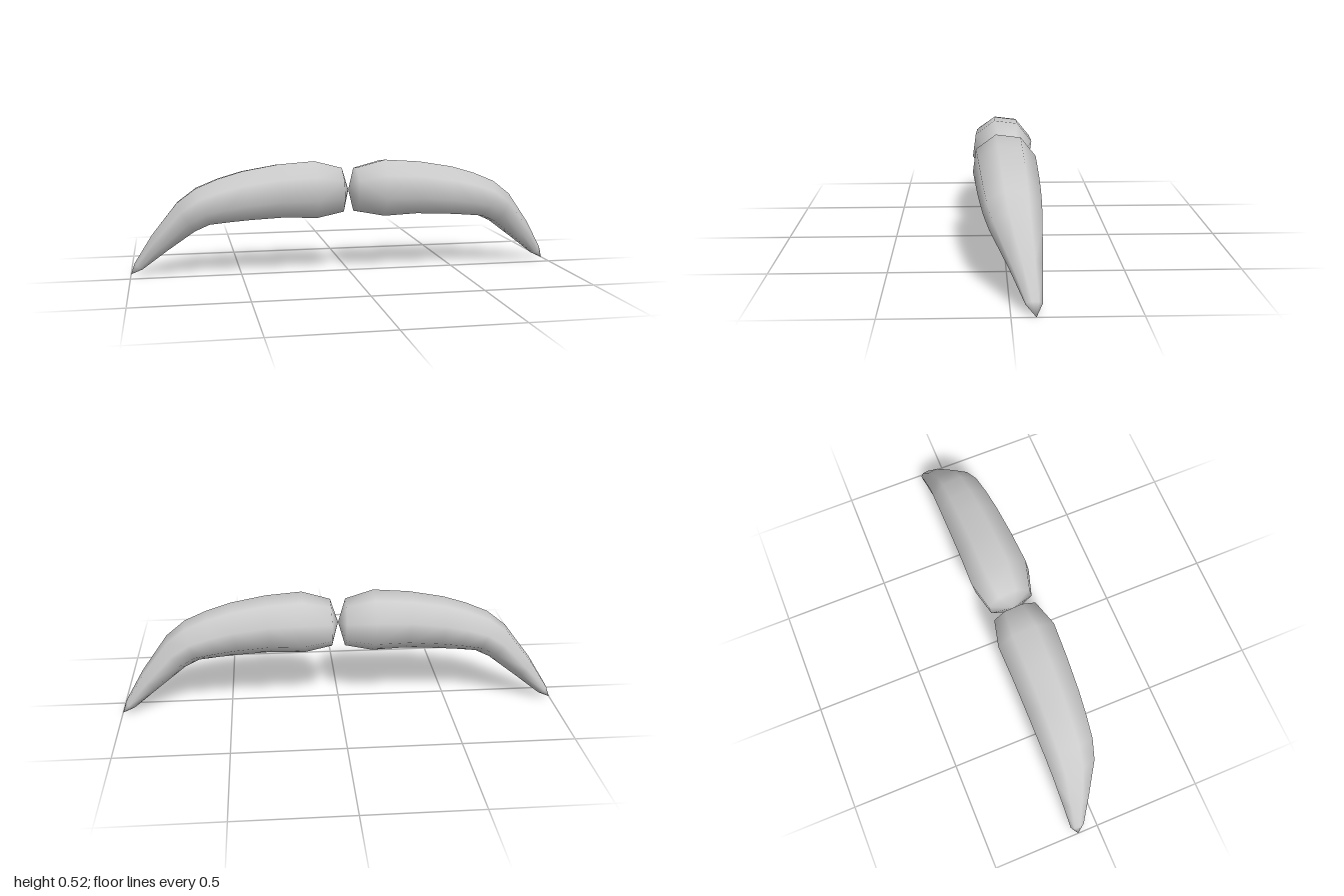
import * as THREE from 'three';

// Cross-sections from the middle outwards:
// [top x, top y, bottom x, bottom y, front z, back z]
const RINGS = [
  [0.035, 0.485, 0.03, 0.275, 0.1, -0.11],
  [0.165, 0.52, 0.155, 0.25, 0.138, -0.142],
  [0.33, 0.508, 0.31, 0.257, 0.13, -0.139],
  [0.49, 0.48, 0.46, 0.25, 0.12, -0.138],
  [0.6, 0.447, 0.555, 0.243, 0.11, -0.137],
  [0.7, 0.405, 0.64, 0.235, 0.098, -0.135],
  [0.785, 0.34, 0.705, 0.205, 0.075, -0.132],
  [0.9, 0.19, 0.83, 0.113, 0.003, -0.126],
  [0.982, 0.055, 0.945, 0.025, -0.055, -0.121],
];
const ROOT = [0, 0.38, -0.003];
const TIP = [1, 0, -0.095];
const SIDES = 8;
const TURN = THREE.MathUtils.degToRad(30);

// One tapering, drooping half; side is +1 (left) or -1 (right)
function halfGeometry(side) {
  const pos = [];
  const index = [];
  const vertex = (x, y, z) => pos.push(side * x, y, z);
  const face = (a, b, c) => (side > 0 ? index.push(a, b, c) : index.push(a, c, b));
  const reach = Math.cos(Math.PI / 12); // extreme of the turned octagon

  for (const [tx, ty, bx, by, zf, zb] of RINGS) {
    for (let i = 0; i < SIDES; i++) {
      const a = TURN + (i / SIDES) * Math.PI * 2;
      const up = Math.sin(a) / reach / 2;
      const out = Math.cos(a) / reach / 2;
      vertex(
        (tx + bx) / 2 + up * (tx - bx),
        (ty + by) / 2 + up * (ty - by),
        (zf + zb) / 2 + out * (zf - zb)
      );
    }
  }
  const root = RINGS.length * SIDES;
  const tip = root + 1;
  vertex(...ROOT);
  vertex(...TIP);

  const last = (RINGS.length - 1) * SIDES;
  for (let i = 0; i < SIDES; i++) {
    const j = (i + 1) % SIDES;
    // Walls between neighbouring cross-sections
    for (let r = 0; r < last; r += SIDES) {
      face(r + i, r + SIDES + i, r + j);
      face(r + j, r + SIDES + i, r + SIDES + j);
    }
    // Pointed ends
    face(root, i, j);
    face(tip, last + j, last + i);
  }

  const geo = new THREE.BufferGeometry();
  geo.setAttribute('position', new THREE.Float32BufferAttribute(pos, 3));
  geo.setIndex(index);
  geo.computeVertexNormals();
  return geo;
}

export function createModel() {
  const group = new THREE.Group();
  group.name = 'moustache';
  const material = new THREE.MeshStandardMaterial({ color: 0xcccccc });
  for (const [name, side] of [['leftHalf', 1], ['rightHalf', -1]]) {
    const mesh = new THREE.Mesh(halfGeometry(side), material);
    mesh.name = name;
    group.add(mesh);
  }
  return group;
}
